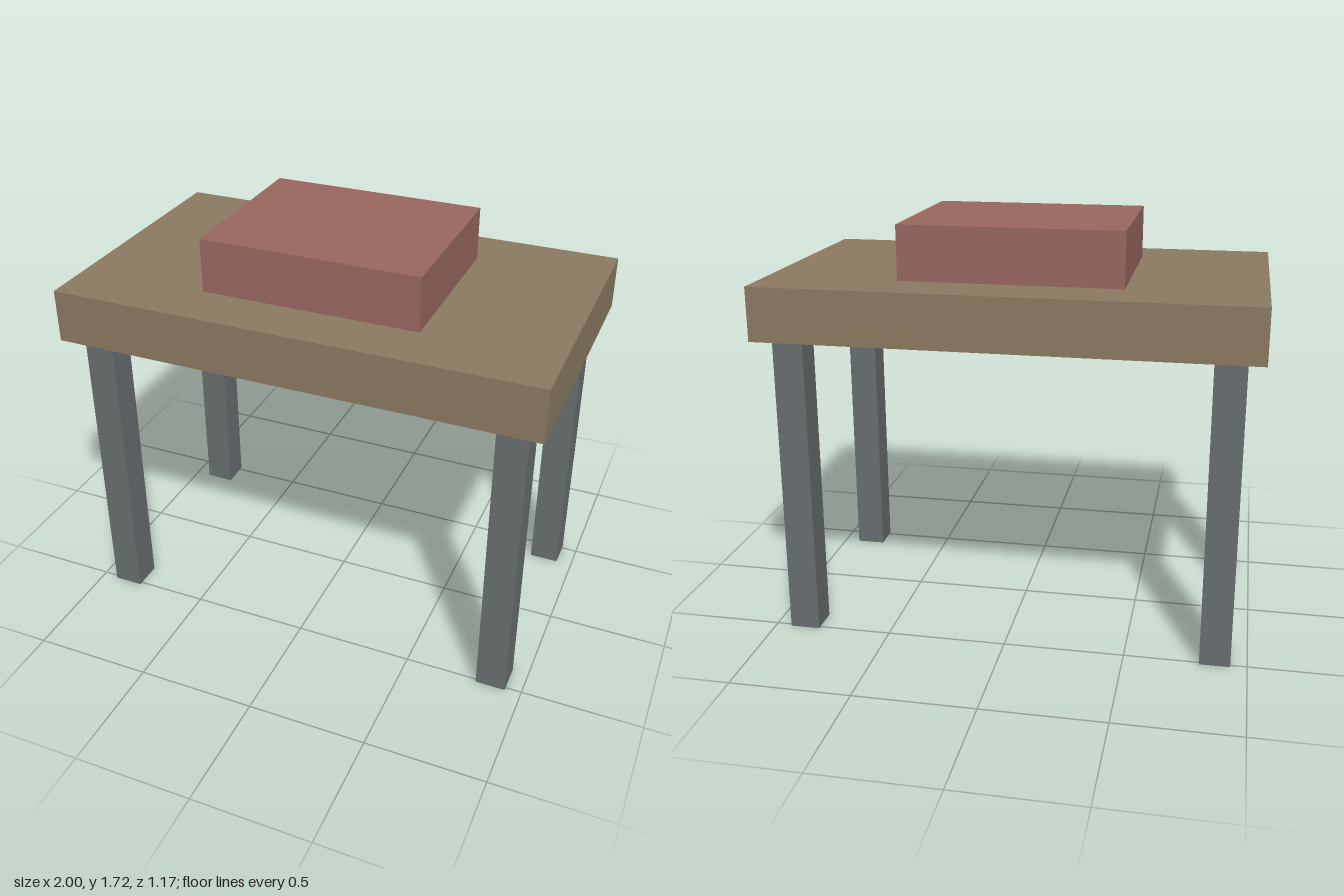
import * as THREE from 'three';

export function createModel() {
  const group = new THREE.Group();

  const wood = new THREE.MeshStandardMaterial({ color: 0x8b7a62 });
  const metal = new THREE.MeshStandardMaterial({ color: 0x686e70 });
  const red = new THREE.MeshStandardMaterial({ color: 0x99675f });

  // Box standing on height y
  function addBox(name, material, [w, h, d], x, y, z) {
    const mesh = new THREE.Mesh(new THREE.BoxGeometry(w, h, d), material);
    mesh.name = name;
    mesh.position.set(x, y + h / 2, z);
    group.add(mesh);
  }

  const legHeight = 1.275;
  const topThickness = 0.22;

  // Four square legs, set in from the corners
  for (const [side, x] of [['Left', 0.87], ['Right', -0.87]]) {
    for (const [end, z] of [['front', 0.452], ['back', -0.452]]) {
      addBox(`${end}${side}Leg`, metal, [0.125, legHeight, 0.125], x, 0, z);
    }
  }

  // Thick table top with a block resting on its middle
  addBox('tableTop', wood, [2, topThickness, 1.17], 0, legHeight, 0);
  addBox('topBlock', red, [0.906, 0.223, 0.724], 0, legHeight + topThickness, 0);

  return group;
}
